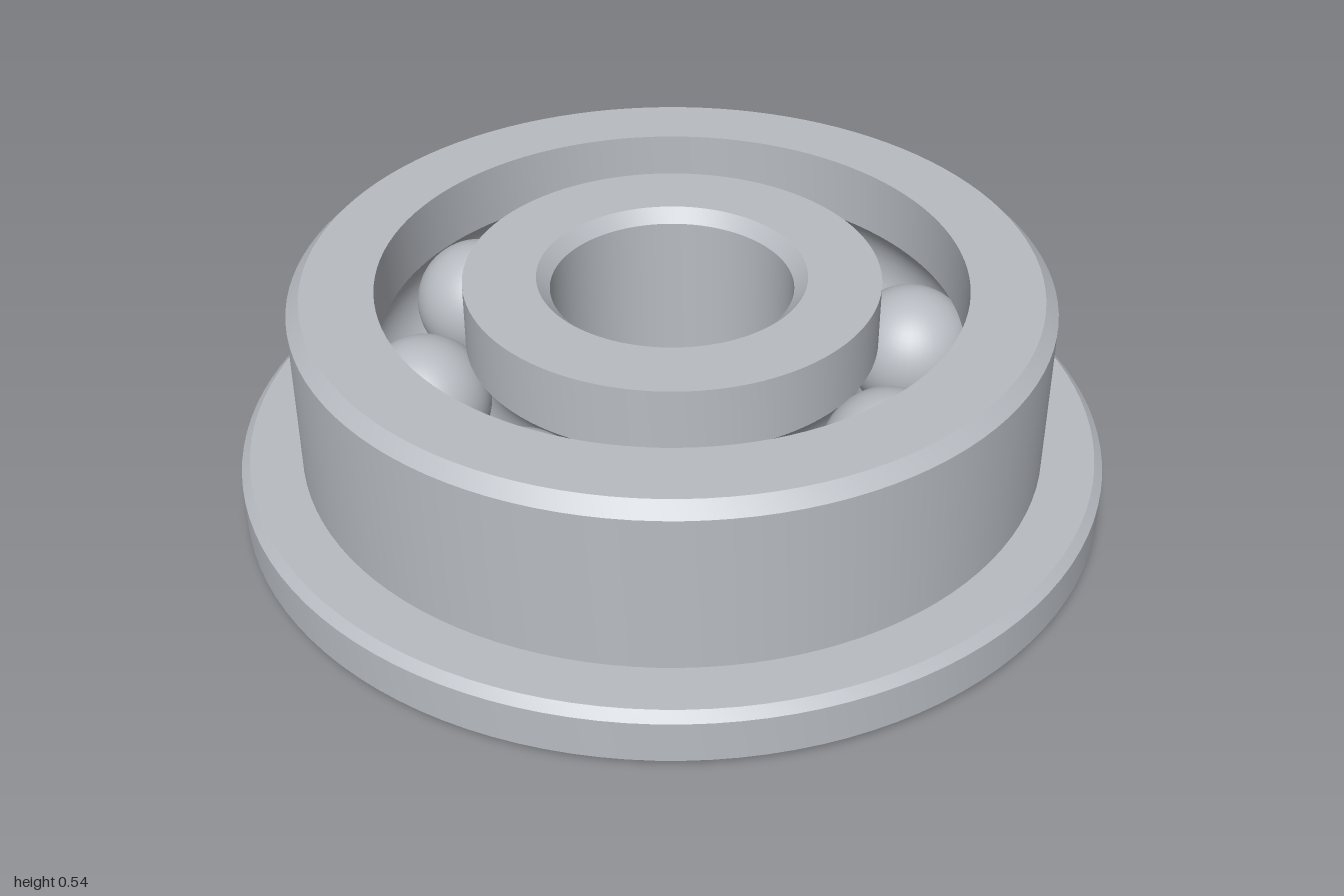
import * as THREE from 'three';
import { toCreasedNormals } from 'three/addons/utils/BufferGeometryUtils.js';

const HEIGHT = 0.54;
const MID = HEIGHT / 2;
const PITCH = 0.57; // radius of the circle of ball centres
const BALL = 0.15;
const BALL_COUNT = 8;

const steel = new THREE.MeshStandardMaterial({ color: 0xb8bcc2 });
steel.name = 'steel grey';

// Arc of the ball race; side +1 cuts the outer ring (downwards), -1 the inner ring (upwards)
function race(edgeRadius, side) {
  const r = BALL + 0.002;
  const a = Math.acos(Math.abs(edgeRadius - PITCH) / r);
  const points = [];
  for (let i = 0; i <= 14; i++) {
    const t = a * (1 - (2 * i) / 14);
    points.push([PITCH + side * r * Math.cos(t), MID + side * r * Math.sin(t)]);
  }
  return points;
}

// Closed counter-clockwise profile turned about the y axis
function ring(name, profile) {
  const points = [...profile, profile[0]].map(([x, y]) => new THREE.Vector2(x, y));
  const geometry = toCreasedNormals(new THREE.LatheGeometry(points, 112), 0.5);
  const mesh = new THREE.Mesh(geometry, steel);
  mesh.name = name;
  return mesh;
}

export function createModel() {
  const group = new THREE.Group();
  group.name = 'flangedBallBearing';

  // Outer ring with flange and chamfered edges
  const outer = 0.665;
  group.add(ring('outerRing', [
    [outer, 0], [0.98, 0], [1, 0.02], [1, 0.118], [0.98, 0.138], [0.86, 0.138],
    [0.86, HEIGHT - 0.03], [0.83, HEIGHT], [outer, HEIGHT],
    ...race(outer, 1),
  ]));

  // Inner ring with chamfered bore
  const inner = 0.47;
  group.add(ring('innerRing', [
    [0.305, 0], [inner, 0],
    ...race(inner, -1),
    [inner, HEIGHT], [0.305, HEIGHT], [0.275, HEIGHT - 0.03], [0.275, 0.03],
  ]));

  // Balls
  const ballGeometry = new THREE.SphereGeometry(BALL, 40, 28);
  for (let i = 0; i < BALL_COUNT; i++) {
    const a = (i / BALL_COUNT) * Math.PI * 2;
    const ball = new THREE.Mesh(ballGeometry, steel);
    ball.name = `ball${i + 1}`;
    ball.position.set(PITCH * Math.cos(a), MID, PITCH * Math.sin(a));
    group.add(ball);
  }
  return group;
}
